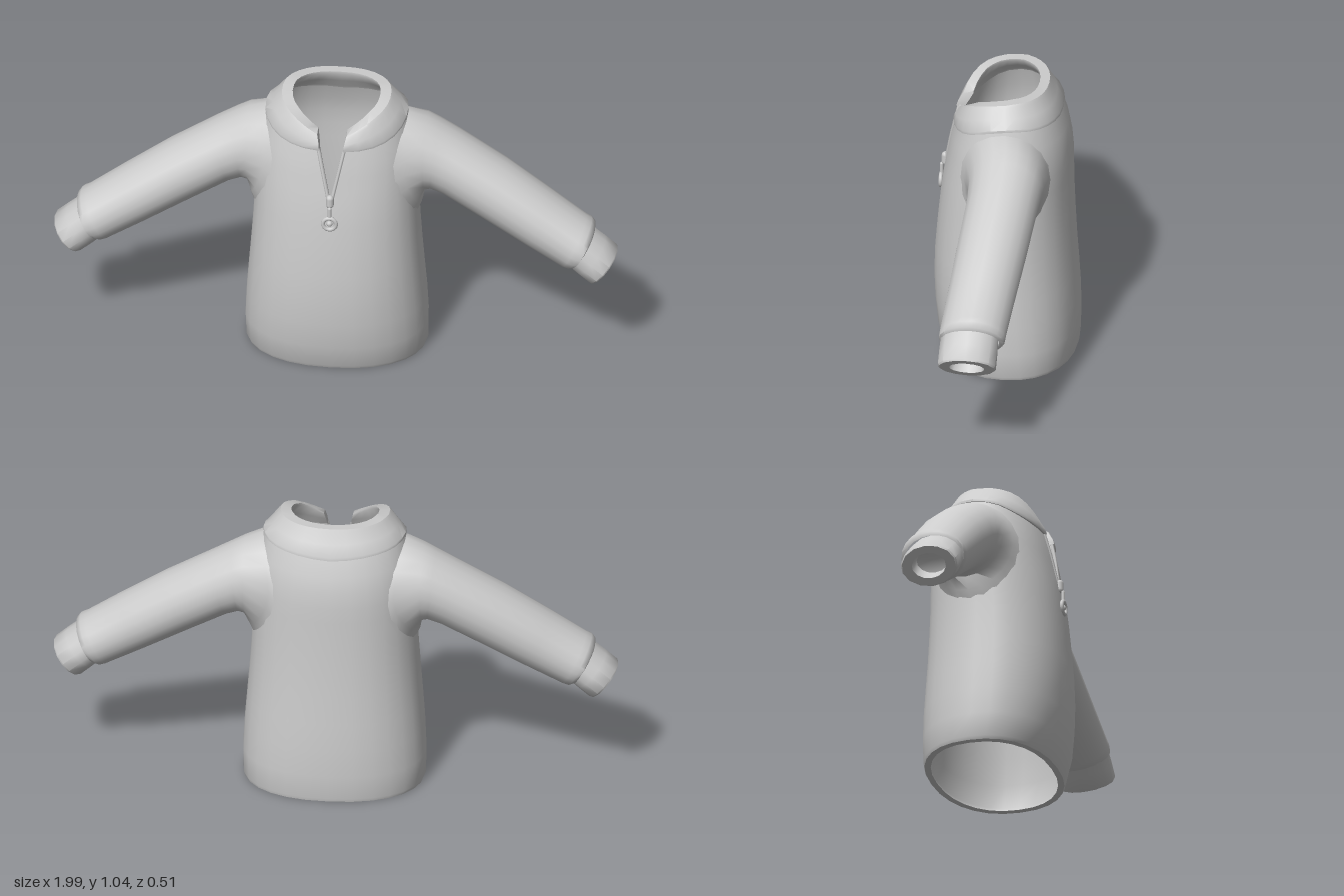
import * as THREE from 'three';
import { mergeVertices, toCreasedNormals } from 'three/addons/utils/BufferGeometryUtils.js';

const material = new THREE.MeshStandardMaterial({ color: 0xcccccc });
const V = (x, y, z) => new THREE.Vector3(x, y, z);
const N = 28; // segments round the torso
const POWER = 2.25; // slightly squared ellipse

// Body profile: height, half width, front z, back z
const PROFILE = [
  [0, 0.317, 0.214, -0.25], [0.012, 0.322, 0.22, -0.253], [0.1, 0.324, 0.243, -0.256], [0.2, 0.319, 0.253, -0.254],
  [0.3, 0.311, 0.257, -0.248], [0.4, 0.303, 0.254, -0.241], [0.5, 0.296, 0.246, -0.236],
  [0.6, 0.291, 0.236, -0.232], [0.7, 0.288, 0.223, -0.23], [0.76, 0.285, 0.213, -0.229],
  [0.82, 0.28, 0.204, -0.224], [0.88, 0.269, 0.194, -0.212], [0.95, 0.246, 0.18, -0.187],
];

// Linear lookup in a table keyed by its first column
function lookup(table, key) {
  let i = 0;
  while (i < table.length - 2 && key > table[i + 1][0]) i++;
  const f = THREE.MathUtils.clamp((key - table[i][0]) / (table[i + 1][0] - table[i][0]), 0, 1);
  return table[i].slice(1).map((v, k) => v + (table[i + 1][k + 1] - v) * f);
}

// Edge heights round the neck, keyed by angle from the front (in half turns)
const NECK = [[0, 0.895], [0.15, 0.9], [0.28, 0.918], [0.42, 0.95], [0.55, 0.965], [0.8, 0.95], [1, 0.935]];
const RIM = [[0, 0.925], [0.06, 0.94], [0.18, 0.977], [0.3, 1.007], [0.45, 1.026], [0.6, 1.036], [1, 1.032]];
const turn = (a) => (a > Math.PI ? 2 * Math.PI - a : a) / Math.PI;
const neckY = (a) => lookup(NECK, turn(a))[0];
const rimY = (a) => lookup(RIM, turn(a))[0];

const bend = (v) => Math.sign(v) * Math.abs(v) ** (2 / POWER);

// Closed loop: outer wall round from the front gap, then back along the inner wall
function wallRing([hw, zf, zb], gap, thick, yAt) {
  const pts = [];
  for (const inset of [0, thick]) {
    const w = hw - inset, hz = (zf - zb) / 2 - inset * 0.9, zc = (zf + zb) / 2;
    const start = Math.asin((gap / w) ** (POWER / 2));
    for (let j = 0; j <= N; j++) {
      const k = inset ? N - j : j;
      const a = start + (2 * Math.PI - 2 * start) * (k / N);
      pts.push(V(w * bend(Math.sin(a)), yAt(a), zc + hz * bend(Math.cos(a))));
    }
  }
  return pts;
}

// Rim row: outer points pulled onto the inner wall
const rimRow = (ring) => ring.map((p, k) => (k <= N ? ring[2 * N + 1 - k] : p));
const capped = (rings) => [rimRow(rings[0]), ...rings, rimRow(rings[rings.length - 1])];

// Skin a list of closed loops
function loft(rows, flip = false, crease = 0.75) {
  const n = rows[0].length, index = [];
  for (let i = 0; i < rows.length - 1; i++) {
    for (let j = 0; j < n; j++) {
      const a = i * n + j, b = i * n + ((j + 1) % n), c = b + n, d = a + n;
      if (flip) index.push(a, c, b, a, d, c);
      else index.push(a, b, c, a, c, d);
    }
  }
  const geo = new THREE.BufferGeometry().setFromPoints(rows.flat());
  geo.setIndex(index);
  return toCreasedNormals(mergeVertices(geo), crease);
}

function part(name, geo, parent) {
  const mesh = new THREE.Mesh(geo, material);
  mesh.name = name;
  parent.add(mesh);
  return mesh;
}

// Neck slit: half width grows from the slider upward
const slit = (y) => 0.043 * THREE.MathUtils.clamp((y - 0.7) / 0.25, 0, 1);
const warpY = (y, a) => (y < 0.66 ? y : 0.66 + ((y - 0.66) * (neckY(a) - 0.66)) / 0.29);

// Side surface of the torso at a height and depth
function torsoX(y, z) {
  const [hw, zf, zb] = lookup(PROFILE, y);
  const u = Math.min(1, Math.abs(z - (zf + zb) / 2) / ((zf - zb) / 2));
  return hw * (1 - u ** POWER) ** (1 / POWER);
}

// Tilted oval between a top and a bottom point, with its own depth range
function oval([tx, ty, bx, by, zf, zb], side, n) {
  return Array.from({ length: n }, (_, j) => {
    const t = (j / n) * 2 * Math.PI, c = Math.cos(t);
    return V(side * ((tx + bx) / 2 + ((tx - bx) / 2) * c), (ty + by) / 2 + ((ty - by) / 2) * c,
      (zf + zb) / 2 + ((zf - zb) / 2) * Math.sin(t));
  });
}

// Sleeve sections: top x, y, bottom x, y, front z, back z
const SLEEVE = [
  [0.315, 0.922, 0.312, 0.638, 0.108, -0.166],
  [0.36, 0.898, 0.332, 0.645, 0.101, -0.161],
  [0.43, 0.858, 0.375, 0.63, 0.1, -0.154],
  [0.6, 0.757, 0.51, 0.553, 0.114, -0.136],
  [0.76, 0.65, 0.67, 0.46, 0.128, -0.113],
  [0.885, 0.562, 0.8, 0.388, 0.14, -0.096],
  [0.904, 0.553, 0.822, 0.381, 0.141, -0.095],
  [0.917, 0.535, 0.838, 0.388, 0.139, -0.09],
  [0.916, 0.52, 0.843, 0.4, 0.128, -0.075],
];

function sleeveRows(side) {
  // Armhole rings follow the torso surface
  const armhole = [[0.947, 0.54, 0.15, -0.178, -0.012], [0.942, 0.59, 0.128, -0.17, 0.012]].map(([top, bottom, zf, zb, out]) =>
    oval([0, top, 0, bottom, zf, zb], side, 20).map((p) => V(side * (torsoX(p.y, p.z) + out), p.y, p.z)));
  return [...armhole, ...SLEEVE.map((s) => oval(s, side, 20))];
}

// Cuff section, scaled about its middle and pushed back along the arm
function cuffRing(scale, back, side) {
  const x = 0.949 - back * 0.76, y = 0.388 + back * 0.65;
  const dx = 0.051 * scale, dy = 0.058 * scale;
  return oval([x + dx, y + dy, x - dx, y - dy, 0.032 + 0.104 * scale, 0.032 - 0.104 * scale], side, 14);
}

export function createModel() {
  const model = new THREE.Group();
  model.name = 'pullover';

  // Torso with lining, hem and open neck slit
  const bodyRings = PROFILE.map(([y, ...size]) => wallRing(size, slit(y), 0.024, (a) => warpY(y, a)));
  part('torso', loft(capped(bodyRings)), model);

  // Standing collar, open at the front
  const collarRings = [
    [0, 0.252, 0.188, -0.195, 0.043, 0.03],
    [0.12, 0.252, 0.19, -0.194, 0.043, 0.036],
    [0.5, 0.224, 0.184, -0.172, 0.045, 0.042],
    [0.9, 0.2, 0.172, -0.152, 0.05, 0.044],
    [1, 0.193, 0.167, -0.147, 0.052, 0.038],
  ].map(([v, hw, zf, zb, gap, thick]) => wallRing([hw, zf, zb], gap, thick,
    (a) => THREE.MathUtils.lerp(neckY(a) - 0.006, rimY(a), v)));
  part('collar', loft(capped(collarRings)), model);

  for (const side of [1, -1]) {
    const label = side > 0 ? 'left' : 'right';
    part(label + 'Sleeve', loft(sleeveRows(side), side < 0, 1), model);

    // Cuff: outer band, thick rim, then the hollow inside
    const cuff = [[0.98, 0.13], [1, 0.06], [1, 0.006], [0.95, 0], [0.6, 0], [0.56, 0.06], [0, 0.075]];
    part(label + 'Cuff', loft(cuff.map(([s, b]) => cuffRing(s, b, side)), side < 0), model);

    // Zip edge along the slit
    const path = [0.7, 0.76, 0.82, 0.88, 0.945].map((y) => {
      const zf = lookup(PROFILE, y)[1];
      return V(side * (slit(y) + 0.003), warpY(y, 0), zf - 0.002);
    });
    part(label + 'ZipEdge', new THREE.TubeGeometry(new THREE.CatmullRomCurve3(path), 16, 0.007, 6), model);
  }

  // Zip slider, link and pull ring
  const zip = new THREE.Group();
  zip.name = 'zipPull';
  model.add(zip);
  const slider = part('slider', new THREE.CapsuleGeometry(0.014, 0.024, 4, 10), zip);
  slider.position.set(0, 0.703, 0.222);
  const link = part('link', new THREE.CapsuleGeometry(0.007, 0.035, 3, 8), zip);
  link.position.set(0, 0.662, 0.235);
  const ring = part('pullRing', new THREE.TorusGeometry(0.023, 0.0075, 8, 20), zip);
  ring.position.set(0, 0.619, 0.237);
  const stud = part('stud', new THREE.SphereGeometry(0.011, 10, 8), zip);
  stud.position.set(0, 0.619, 0.235);

  return model;
}
